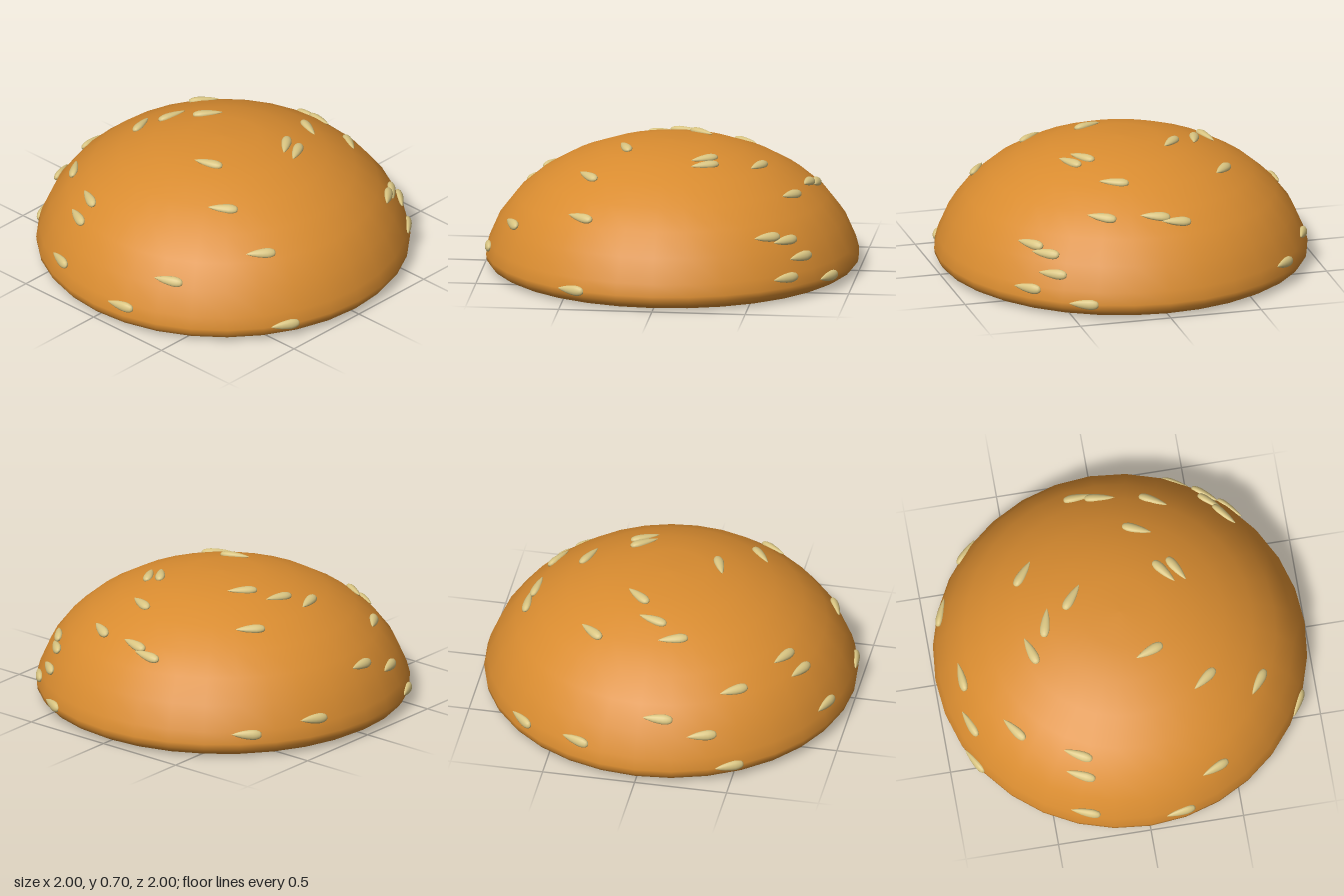
import * as THREE from 'three';

const HEIGHT = 0.693, BASE = 0.01; // dome is a flattened half sphere of radius 1

// x, z, turn of the tip towards the crown in degrees, and y for seeds near the rim
const SEEDS = [
  [-0.10, -0.76, 9], [0.01, -0.73, 10], [0.29, -0.67, 8], [0.17, -0.48, 4],
  [0.27, -0.20, 0], [0.34, -0.21, 2], [-0.47, -0.34, 4], [-0.24, -0.13, 11],
  [-0.40, -0.02, 13], [-0.50, 0.11, -5], [0.12, 0.24, 6], [0.39, 0.41, 6],
  [0.68, 0.42, 4], [0.38, 0.82, 2], [-0.65, 0.47, 0], [-0.34, 0.68, 2],
  [-0.34, 0.77, 2], [-0.34, 0.92, 0, 0.18], [0.17, 0.98, 0, 0.13], [0.89, 0.45, 0, 0.08],
  [-0.87, 0.10, 3, 0.34], [-0.87, 0.34, 0, 0.26], [-0.87, 0.49, 0, 0.08],
  [-0.91, -0.34, 3, 0.17], [-0.72, -0.67, 3, 0.13], [0.45, -0.89, 0, 0.08],
  [0.59, -0.76, 0, 0.22], [0.61, -0.68, 0, 0.31], [0.66, -0.58, 3, 0.34],
  [0.71, -0.69, 0, 0.13],
];

function domeGeometry() {
  // flat underside and rounded lower rim
  const profile = [[0, 0], [0.45, 0], [0.89, 0], [0.94, 0.006], [0.975, 0.025], [0.994, 0.05], [0.998, 0.08]];
  // dome rings up to the crown
  for (let i = 1; i <= 7; i++) {
    const a = (i * Math.PI) / 16;
    profile.push([Math.cos(a), BASE + HEIGHT * Math.sin(a)]);
  }
  profile.push([0, 0.694]);
  return new THREE.LatheGeometry(profile.map(([r, y]) => new THREE.Vector2(r, y)), 32);
}

function seedGeometry() {
  // teardrop with its point towards +x, flattened in y
  const profile = [
    [0, -0.08], [0.012, -0.077], [0.02, -0.068], [0.026, -0.05], [0.0275, -0.03],
    [0.025, -0.005], [0.02, 0.025], [0.012, 0.053], [0.005, 0.072], [0, 0.082],
  ].map(([r, y]) => new THREE.Vector2(r, y));
  const geometry = new THREE.LatheGeometry(profile, 14);
  geometry.rotateZ(-Math.PI / 2);
  geometry.scale(1, 0.72, 1);
  return geometry;
}

function placeSeed(mesh, [x, z, turn, rimY]) {
  const r = Math.hypot(x, z);
  const y = rimY ?? BASE + HEIGHT * Math.sqrt(1 - r * r);
  // keep rim seeds exactly on the dome
  const fit = Math.sqrt(1 - ((y - BASE) / HEIGHT) ** 2) / r;
  mesh.position.set(x * fit, y, z * fit);

  const normal = new THREE.Vector3(x * fit, (y - BASE) / HEIGHT ** 2, z * fit).normalize();
  const around = new THREE.Vector3(-z, 0, x).normalize();
  const up = new THREE.Vector3().crossVectors(around, normal);
  if (up.y < 0) up.negate();
  const a = THREE.MathUtils.degToRad(turn);
  const tip = around.multiplyScalar(Math.cos(a)).addScaledVector(up, Math.sin(a));
  const side = new THREE.Vector3().crossVectors(tip, normal);
  mesh.quaternion.setFromRotationMatrix(new THREE.Matrix4().makeBasis(tip, normal, side));
}

export function createModel() {
  const model = new THREE.Group();
  model.name = 'bunTop';

  // Bread
  const bread = new THREE.Mesh(domeGeometry(), new THREE.MeshStandardMaterial({ color: 0xd98c30 }));
  bread.name = 'bread';
  model.add(bread);

  // Sesame seeds
  const seeds = new THREE.Group();
  seeds.name = 'sesameSeeds';
  const geometry = seedGeometry();
  const material = new THREE.MeshStandardMaterial({ color: 0xd9c582 });
  SEEDS.forEach((spot, i) => {
    const seed = new THREE.Mesh(geometry, material);
    seed.name = `seed${i + 1}`;
    placeSeed(seed, spot);
    seeds.add(seed);
  });
  model.add(seeds);
  return model;
}
